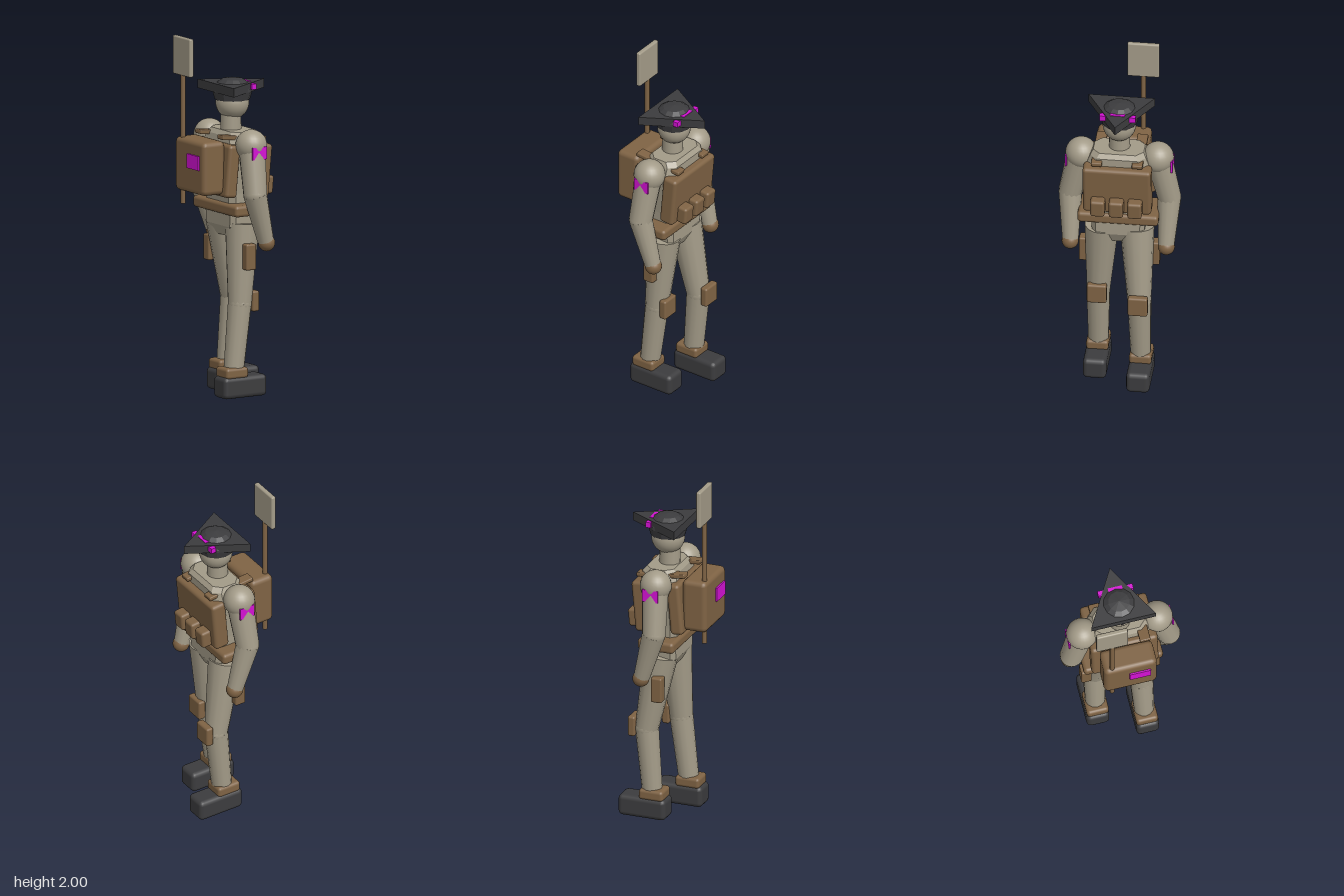
import * as THREE from 'three';
import { RoundedBoxGeometry } from 'three/addons/geometries/RoundedBoxGeometry.js';

const material = (name, color) => {
  const m = new THREE.MeshStandardMaterial({ color });
  m.name = name;
  return m;
};

export function createModel() {
  const model = new THREE.Group();
  model.name = 'soldier';
  const cloth = material('cloth', 0xa39b88);
  const leather = material('leather', 0x7f6344);
  const dark = material('dark', 0x3c3c3e);
  const marker = material('marker', 0xd412d4);

  const add = (name, geometry, mat, x = 0, y = 0, z = 0) => {
    const mesh = new THREE.Mesh(geometry, mat);
    mesh.name = name;
    mesh.position.set(x, y, z);
    model.add(mesh);
    return mesh;
  };

  // Bevelled box given by its extents on each axis
  const box = (name, mat, [x0, x1], [y0, y1], [z0, z1], r = 0.012, tilt = 0) => {
    const w = x1 - x0, h = y1 - y0, d = z1 - z0;
    const geometry = r ? new RoundedBoxGeometry(w, h, d, 2, r) : new THREE.BoxGeometry(w, h, d);
    const mesh = add(name, geometry, mat, (x0 + x1) / 2, (y0 + y1) / 2, (z0 + z1) / 2);
    mesh.rotation.z = tilt;
    return mesh;
  };

  const ball = (name, mat, r, x, y, z) =>
    add(name, new THREE.SphereGeometry(r, 24, 16), mat, x, y, z);

  // Tapered cylinder from point a to point b
  const limb = (name, mat, a, b, ra, rb) => {
    const p = new THREE.Vector3(...a), q = new THREE.Vector3(...b);
    const dir = q.clone().sub(p);
    const mesh = add(name, new THREE.CylinderGeometry(rb, ra, dir.length(), 14), mat);
    mesh.position.copy(p).add(q).multiplyScalar(0.5);
    mesh.quaternion.setFromUnitVectors(new THREE.Vector3(0, 1, 0), dir.normalize());
    return mesh;
  };

  // Stack of chamfered rectangles: [y, centre x, half depth x, half width z, chamfer]
  const loft = (sections) => {
    const pos = [], index = [], n = 8;
    for (const [y, cx, a, b, c] of sections) {
      const ring = [[a, -b + c], [a, b - c], [a - c, b], [-a + c, b],
        [-a, b - c], [-a, -b + c], [-a + c, -b], [a - c, -b]];
      for (const [x, z] of ring) pos.push(cx + x, y, z);
    }
    const last = (sections.length - 1) * n;
    for (let i = 0; i < last; i += n) {
      for (let j = 0; j < n; j++) {
        const k = (j + 1) % n;
        index.push(i + j, i + n + j, i + k, i + k, i + n + j, i + n + k);
      }
    }
    for (let j = 1; j < n - 1; j++) index.push(0, j, j + 1, last, last + j + 1, last + j);
    let geometry = new THREE.BufferGeometry();
    geometry.setAttribute('position', new THREE.Float32BufferAttribute(pos, 3));
    geometry.setIndex(index);
    geometry = geometry.toNonIndexed();
    geometry.computeVertexNormals();
    return geometry;
  };

  // Trunk
  add('pelvis', loft([
    [0.89, 0.03, 0.06, 0.09, 0.02],
    [0.95, 0.03, 0.09, 0.145, 0.025],
    [1.04, 0.03, 0.09, 0.15, 0.025],
  ]), cloth);
  add('torso', loft([
    [1.03, 0.025, 0.085, 0.14, 0.03],
    [1.14, 0.025, 0.09, 0.145, 0.03],
    [1.40, 0.035, 0.105, 0.175, 0.04],
    [1.455, 0.04, 0.10, 0.155, 0.04],
    [1.48, 0.04, 0.08, 0.14, 0.04],
  ]), cloth);
  box('belt', leather, [-0.085, 0.13], [1.02, 1.085], [-0.225, 0.225], 0.02);

  // Neck and head
  add('neck', new THREE.CylinderGeometry(0.057, 0.06, 0.12, 16), cloth, 0.025, 1.51, 0);
  ball('head', cloth, 0.093, 0.035, 1.626, 0);

  // Three-cornered hat
  const crown = [[0, 1.645], [0.098, 1.645], [0.11, 1.69], [0.108, 1.705],
    [0.088, 1.738], [0.06, 1.757], [0, 1.766]];
  const crownGeometry = new THREE.LatheGeometry(
    crown.map(([r, y]) => new THREE.Vector2(r, y)), 12).toNonIndexed();
  crownGeometry.computeVertexNormals();
  add('hatCrown', crownGeometry, dark, 0.035, 0, 0);
  const brim = add('hatBrim', new THREE.CylinderGeometry(0.212, 0.212, 0.05, 3), dark, 0.032, 1.714, 0);
  brim.rotation.y = Math.PI / 2;
  brim.geometry = brim.geometry.toNonIndexed();
  brim.geometry.computeVertexNormals();
  box('hatBar', marker, [0.10, 0.13], [1.703, 1.734], [-0.10, 0.10], 0);
  box('hatBarTop', marker, [0.10, 0.13], [1.735, 1.742], [-0.04, 0.04], 0);

  // Plates, pouches and straps
  box('frontPlate', leather, [0.08, 0.17], [1.115, 1.41], [-0.19, 0.19], 0.02, -0.09);
  box('backPlate', leather, [-0.115, -0.04], [1.125, 1.42], [-0.19, 0.19], 0.02, -0.09);
  for (const z of [-0.103, 0, 0.103]) {
    box('frontPouch', leather, [0.14, 0.217], [1.12, 1.222], [z - 0.04, z + 0.04], 0.015, -0.09);
  }
  for (const z of [-0.113, 0.113]) {
    box('shoulderStrap', leather, [-0.12, 0.168], [1.434, 1.458], [z - 0.03, z + 0.03], 0.006, -0.1);
  }

  // Backpack with signal pole
  box('backpack', leather, [-0.25, -0.105], [1.143, 1.443], [-0.15, 0.15], 0.028);
  box('backpackPatch', marker, [-0.26, -0.2505], [1.285, 1.365], [-0.01, 0.11], 0);
  limb('pole', leather, [-0.222, 1.07, -0.102], [-0.222, 1.80, -0.102], 0.014, 0.014);
  box('polePanel', cloth, [-0.236, -0.208], [1.785, 2.0], [-0.192, -0.014], 0.009);

  for (const s of [1, -1]) {
    const span = (a, b) => (s > 0 ? [a, b] : [-b, -a]);

    // Arm
    const elbow = [0.008, 1.15, s * 0.275], wrist = [0.082, 0.885, s * 0.266];
    ball('shoulder', cloth, 0.088, 0.022, 1.417, s * 0.213);
    limb('upperArm', cloth, [0.022, 1.41, s * 0.218], elbow, 0.075, 0.066);
    ball('elbow', cloth, 0.065, ...elbow);
    limb('forearm', cloth, elbow, wrist, 0.066, 0.046);
    ball('hand', leather, 0.047, 0.088, 0.873, s * 0.267);
    box('armPatch', marker, [-0.023, 0.07], [1.348, 1.418], span(0.289, 0.298), 0);

    // Leg, with the right one stepping forward
    const kneeX = s > 0 ? 0.006 : 0.112, ankleX = s > 0 ? -0.04 : 0.076;
    const footX = s > 0 ? 0.005 : 0.12, cuffX = s > 0 ? -0.048 : 0.066;
    const knee = [kneeX, 0.52, s * 0.12];
    limb('thigh', cloth, [0.036, 0.965, s * 0.098], knee, 0.096, 0.066);
    ball('knee', cloth, 0.066, ...knee);
    limb('shin', cloth, knee, [ankleX, 0.12, s * 0.125], 0.066, 0.056);
    box('kneePad', leather, [kneeX + 0.052, kneeX + 0.096], [0.474, 0.59], span(0.065, 0.175), 0.012);
    box('thighPouch', leather, [-0.015, 0.05], [0.718, 0.864], span(0.165, 0.224), 0.01);
    box('ankleCuff', leather, [cuffX - 0.072, cuffX + 0.072], [0.11, 0.172], span(0.064, 0.188), 0.018);
    box('boot', dark, [footX - 0.14, footX + 0.14], [0, 0.122], span(0.062, 0.192), 0.026);
  }
  return model;
}
